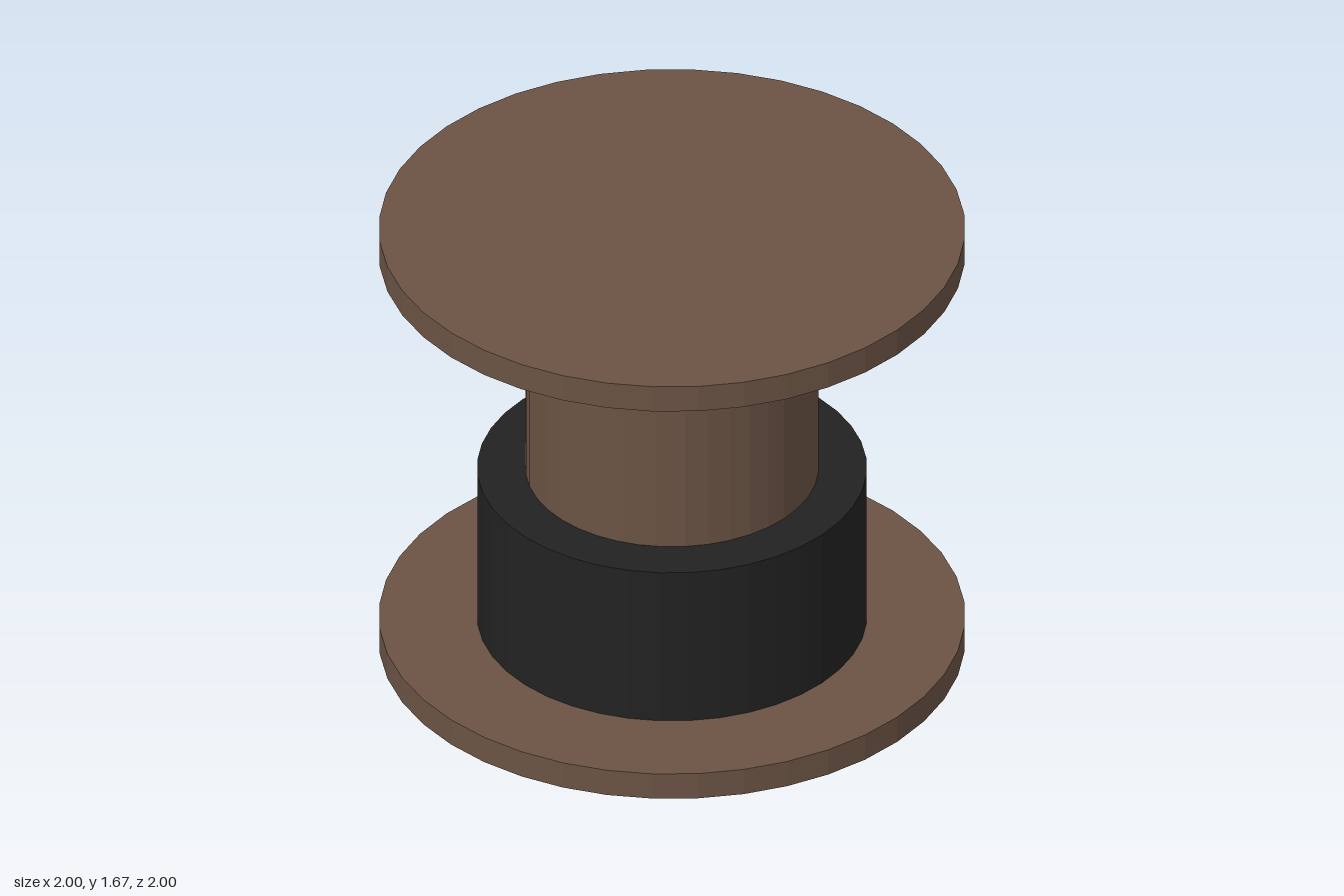
import * as THREE from 'three';

const SIDES = 40;

export function createModel() {
  const group = new THREE.Group();
  const wood = new THREE.MeshStandardMaterial({ color: 0x6b5344, flatShading: true });
  const cable = new THREE.MeshStandardMaterial({ color: 0x222222, flatShading: true });

  // Upright disc or drum between two heights
  function addDrum(name, radius, bottom, top, material) {
    const geometry = new THREE.CylinderGeometry(radius, radius, top - bottom, SIDES);
    const mesh = new THREE.Mesh(geometry, material);
    mesh.name = name;
    mesh.position.y = (bottom + top) / 2;
    group.add(mesh);
  }

  // End flanges
  addDrum('bottomFlange', 1, 0, 0.1, wood);
  addDrum('topFlange', 1, 1.57, 1.67, wood);
  // Core between the flanges
  addDrum('core', 0.5, 0.1, 1.57, wood);
  // Wound cable around the lower core
  addDrum('cableWinding', 0.665, 0.1, 0.7, cable);

  return group;
}
